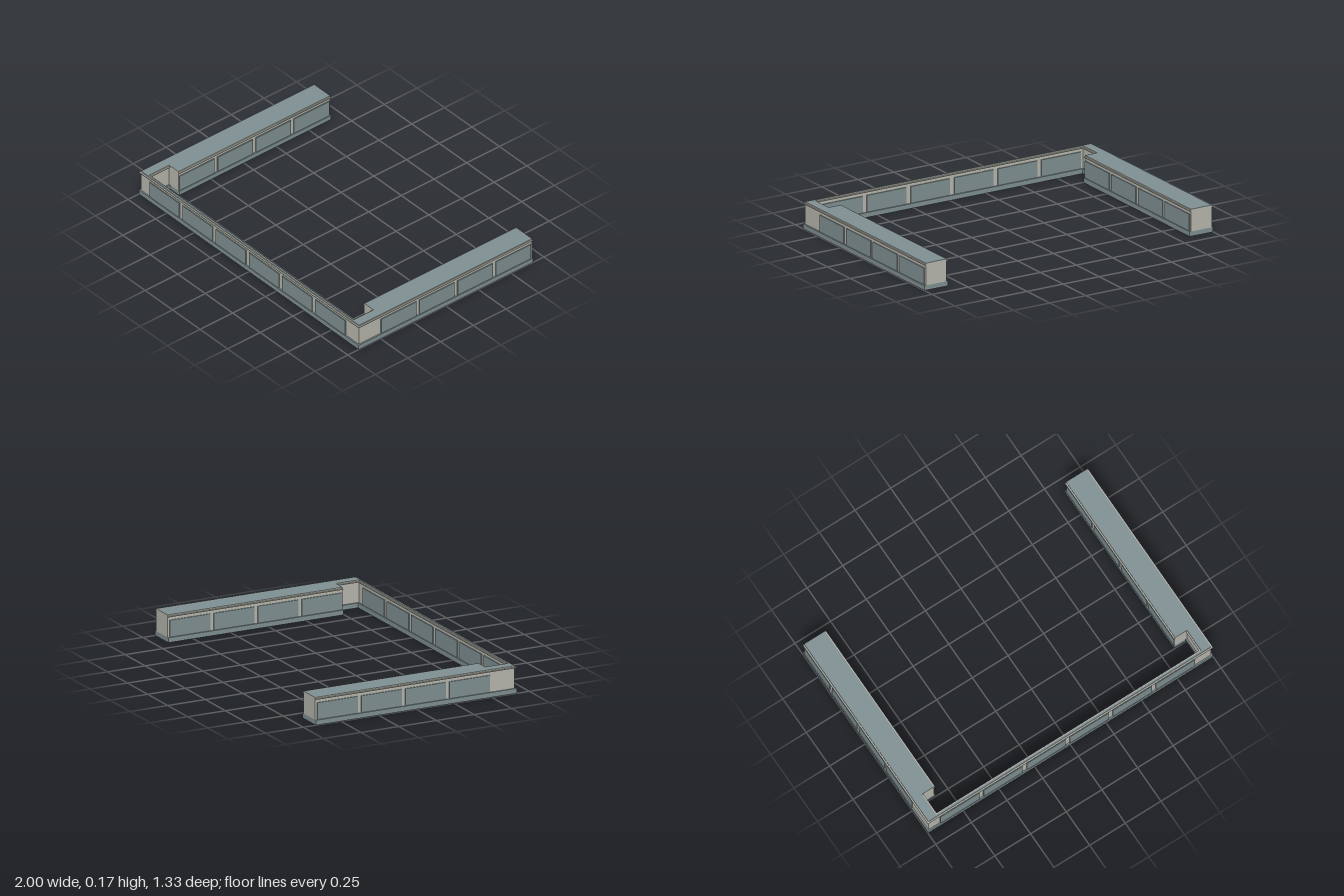
import * as THREE from 'three';

// U-shaped plan, drawn in x and -z; inset pulls in the long edges only
function plan(inset) {
  const outer = 1 - inset, front = 0.667 - inset;
  const armIn = 0.837 + inset, neckIn = 0.92 + inset, barIn = 0.637 + inset;
  const back = -0.667, shoulder = 0.495;
  const half = [[outer, front], [outer, back], [armIn, back], [armIn, shoulder],
    [neckIn, shoulder], [neckIn, barIn]];
  const other = half.map(([x, z]) => [-x, z]).reverse();
  return new THREE.Shape([...half, ...other].map(([x, z]) => new THREE.Vector2(x, -z)));
}

export function createModel() {
  const group = new THREE.Group();
  const slate = new THREE.MeshStandardMaterial({ color: 0x809092 });
  slate.name = 'slate grey';
  const stone = new THREE.MeshStandardMaterial({ color: 0xb7b7ae });
  stone.name = 'pale stone';

  function layer(name, inset, y0, y1, material) {
    const geo = new THREE.ExtrudeGeometry(plan(inset), { depth: y1 - y0, bevelEnabled: false });
    geo.rotateX(-Math.PI / 2);
    const mesh = new THREE.Mesh(geo, material);
    mesh.name = name;
    mesh.position.y = y0;
    group.add(mesh);
  }

  // Stacked courses of the wall
  layer('base', 0, 0, 0.03, slate);
  layer('wall', 0.009, 0.03, 0.155, stone);
  layer('lip', 0, 0.155, 0.16, stone);
  layer('coping', 0.009, 0.16, 0.168, [slate, stone]);

  function panel(name, w, d, x, z) {
    const mesh = new THREE.Mesh(new THREE.BoxGeometry(w, 0.103, d), slate);
    mesh.name = name;
    mesh.position.set(x, 0.0835, z);
    group.add(mesh);
  }

  // Six panels on both faces of the front wall
  for (let i = 0; i < 6; i++) {
    const x = -0.773 + i * 0.302;
    panel('frontPanel', 0.272, 0.008, x, 0.66);
    panel('frontInnerPanel', 0.272, 0.008, x, 0.644);
  }

  // Four panels on both faces of each side wall
  for (const side of [-1, 1]) {
    for (let i = 0; i < 4; i++) {
      const z = 0.357 - i * 0.2925;
      panel('sidePanel', 0.008, 0.268, side * 0.993, z);
      panel('sideInnerPanel', 0.008, 0.268, side * 0.844, z);
    }
  }
  return group;
}
